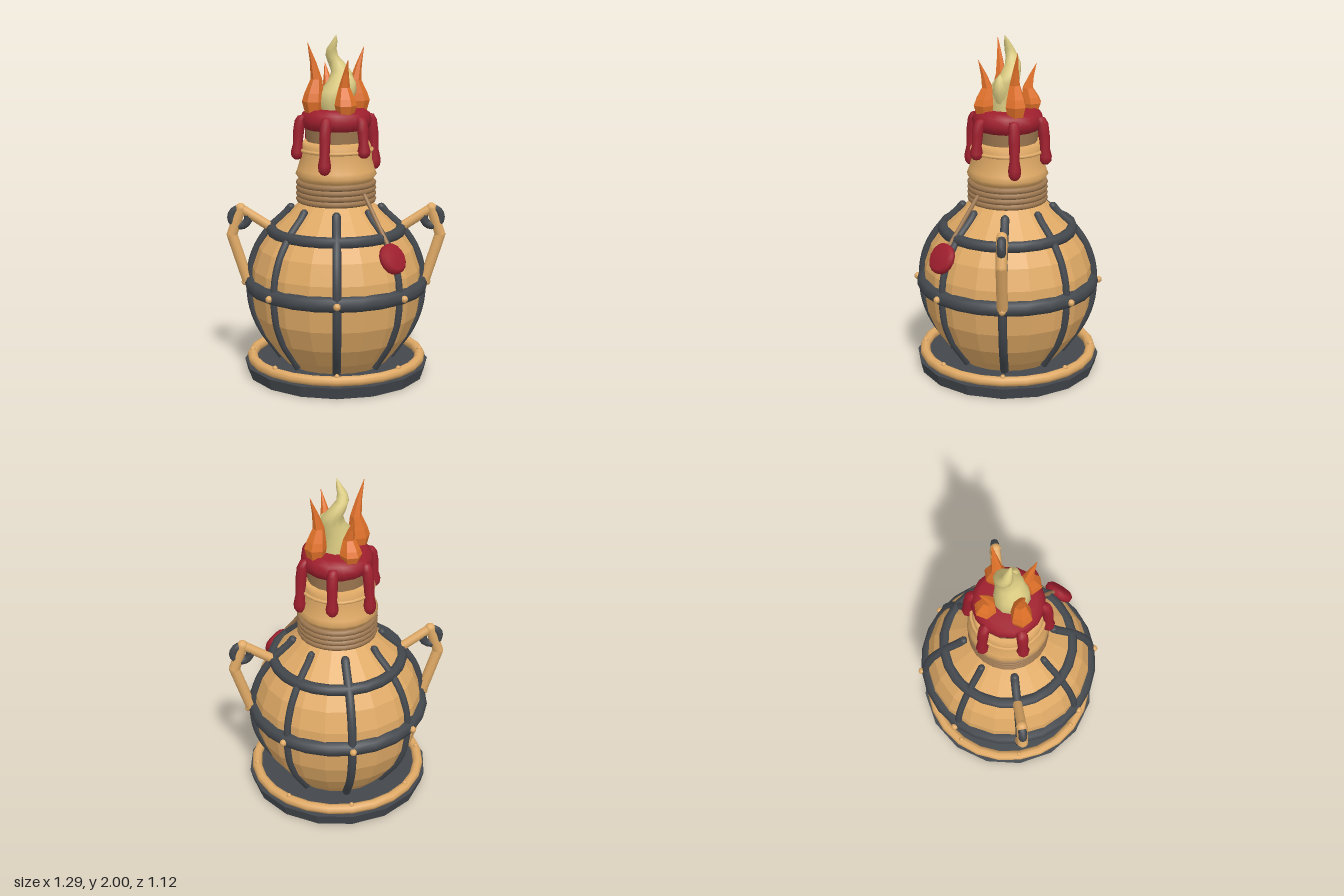
import * as THREE from 'three';

const mat = (name, color, flatShading = false) => {
  const m = new THREE.MeshStandardMaterial({ color });
  m.name = name;
  m.flatShading = flatShading;
  return m;
};
const V = (x, y, z = 0) => new THREE.Vector3(x, y, z);

// Closed loft of horizontal rings from bottom to top, each given as [x, y, z, radius]
function loft(rings, sides) {
  const pos = [], index = [];
  rings.forEach(([x, y, z, r], i) => {
    for (let j = 0; j < sides; j++) {
      const a = (j / sides) * Math.PI * 2;
      pos.push(x + Math.cos(a) * r, y, z + Math.sin(a) * r);
      if (i === rings.length - 1) continue;
      const p = i * sides + j, q = i * sides + ((j + 1) % sides);
      index.push(p, p + sides, q, q, p + sides, q + sides);
    }
  });
  const g = new THREE.BufferGeometry();
  g.setAttribute('position', new THREE.Float32BufferAttribute(pos, 3));
  g.setIndex(index);
  g.computeVertexNormals();
  return g;
}

export function createModel() {
  const group = new THREE.Group();
  const clay = mat('tan clay', 0xe0aa66, true);
  const brass = mat('tan trim', 0xe0aa66);
  const iron = mat('dark iron', 0x43484d);
  const ironFlat = mat('dark iron base', 0x43484d, true);
  const red = mat('red wax', 0xa01f2e);
  const orange = mat('orange flame', 0xe2722a, true);
  const yellow = mat('pale flame', 0xdccc82);
  const rope = mat('brown cord', 0x9e7850);

  const add = (name, geo, material, x = 0, y = 0, z = 0, parent = group) => {
    const m = new THREE.Mesh(geo, material);
    m.name = name;
    m.position.set(x, y, z);
    parent.add(m);
    return m;
  };
  const ring = (name, R, r, y, material) =>
    add(name, new THREE.TorusGeometry(R, r, 8, 24).rotateX(Math.PI / 2), material, 0, y, 0);
  const rod = (name, a, b, r, material, parent = group) => {
    const d = b.clone().sub(a);
    const m = add(name, new THREE.CylinderGeometry(r, r, d.length(), 10), material, 0, 0, 0, parent);
    m.position.copy(a).addScaledVector(d, 0.5);
    m.quaternion.setFromUnitVectors(V(0, 1, 0), d.normalize());
  };
  const lathe = (name, pts, segs, material) =>
    add(name, new THREE.LatheGeometry(pts.map(p => new THREE.Vector2(...p)), segs), material);

  // Base plate and its rim
  add('basePlate', new THREE.CylinderGeometry(0.547, 0.53, 0.067, 16), ironFlat, 0, 0.0335, 0);
  ring('baseRim', 0.502, 0.03, 0.095, brass);

  // Round body
  const profile = [[0.355, 0.13], [0.433, 0.24], [0.487, 0.37], [0.505, 0.5], [0.496, 0.64],
    [0.455, 0.76], [0.38, 0.87], [0.28, 0.965]];
  lathe('body', [[0, 0.066], [0.3, 0.066], ...profile, [0.215, 1.03], [0.21, 1.17]], 20, clay);

  // Hoops
  ring('middleHoop', 0.497, 0.046, 0.54, iron);
  ring('upperHoop', 0.38, 0.034, 0.865, iron);

  // Eight ribs with studs on hoop and rim; the diagonal ribs are slimmer
  const ribPath = new THREE.CatmullRomCurve3(
    [[0.32, 0.08], ...profile, [0.262, 0.99]].map(([r, y]) => V(r + 0.004, y + 0.004)));
  const ribGeo = new THREE.TubeGeometry(ribPath, 24, 0.025, 8);
  for (let i = 0; i < 8; i++) {
    const spoke = new THREE.Group();
    spoke.name = 'ribSet';
    spoke.rotation.y = (i * Math.PI) / 4;
    group.add(spoke);
    const rib = new THREE.Group();
    rib.name = 'ribBar';
    if (i % 2) rib.scale.set(0.98, 1, 0.85);
    spoke.add(rib);
    add('rib', ribGeo, iron, 0, 0, 0, rib);
    add('ribEnd', new THREE.SphereGeometry(0.025, 8, 6), iron, 0.266, 0.994, 0, rib);
    add('hoopStud', new THREE.SphereGeometry(0.021, 8, 6), brass, 0.541, 0.54, 0, spoke);
    add('rimStud', new THREE.SphereGeometry(0.015, 8, 6), brass, 0.5, 0.123, 0, spoke);
  }

  // Side handles with iron rings
  for (const s of [1, -1]) {
    const handle = new THREE.Group();
    handle.name = s > 0 ? 'leftHandle' : 'rightHandle';
    group.add(handle);
    const pts = [V(0.37, 0.865), V(0.56, 0.987), V(0.614, 0.83), V(0.525, 0.55)];
    pts.forEach(p => { p.x *= s; });
    for (let i = 0; i < 3; i++) rod('handleBar', pts[i], pts[i + 1], i ? 0.032 : 0.028, brass, handle);
    for (const p of pts.slice(1, 3))
      add('handleJoint', new THREE.SphereGeometry(0.032, 10, 8), brass, p.x, p.y, 0, handle);
    add('handleRing', new THREE.TorusGeometry(0.05, 0.025, 8, 16), iron, s * 0.566, 0.933, 0, handle);
  }

  // Neck with cord wrapping, collar and cork
  for (let i = 0; i < 4; i++) ring('neckCord', 0.218, 0.018, 1.048 + i * 0.032, rope);
  lathe('neck', [[0.205, 1.15], [0.22, 1.17], [0.238, 1.195], [0.226, 1.225], [0.21, 1.28], [0.207, 1.33],
    [0.203, 1.365], [0.19, 1.39], [0, 1.39]], 20, brass);
  ring('neckRing', 0.21, 0.01, 1.34, brass);
  add('cork', new THREE.CylinderGeometry(0.18, 0.172, 0.1, 16), rope, 0, 1.43, 0);

  // Wax cap
  lathe('waxCap', [[0, 1.455], [0.17, 1.455], [0.198, 1.475], [0.207, 1.515], [0.195, 1.555],
    [0.16, 1.578], [0, 1.578]], 16, red);

  // Wax drips, one length per drip; rings are [distance out, height fraction, radius]
  const drip = [[0.23, 0, 0.001], [0.231, 0.02, 0.02], [0.231, 0.08, 0.034], [0.231, 0.18, 0.037],
    [0.228, 0.35, 0.028], [0.222, 0.65, 0.032], [0.212, 0.88, 0.032], [0.2, 0.98, 0.026], [0.197, 1, 0.001]];
  [1.31, 1.22, 1.285, 1.23, 1.265, 1.21].forEach((end, i) => {
    const a = THREE.MathUtils.degToRad(47 + i * 60);
    add('waxDrip', loft(drip.map(([d, t, r]) =>
      [Math.cos(a) * d, end + t * (1.545 - end), Math.sin(a) * d, r]), 8), red);
  });

  // Outer flames: direction in degrees and tip height
  const tongue = [[0.14, 0, 0.05], [0.143, 0.16, 0.064], [0.137, 0.28, 0.055], [0.122, 0.48, 0.033],
    [0.142, 0.72, 0.018], [0.175, 1, 0.001]];
  for (const [deg, top] of [[68, 1.87], [158, 1.96], [248, 1.83], [338, 1.93]]) {
    const a = THREE.MathUtils.degToRad(deg);
    add('outerFlame', loft(tongue.map(([d, t, r]) =>
      [Math.cos(a) * d, 1.56 + t * (top - 1.56), Math.sin(a) * d, r]), 6), orange);
  }

  // Twisting inner flame with a small side lick
  add('innerFlame', loft([[0, 1.56, 0.01, 0.095], [-0.008, 1.62, 0.02, 0.103], [0, 1.68, 0.02, 0.095],
    [0.03, 1.74, 0.005, 0.076], [0.03, 1.79, -0.02, 0.058], [0, 1.84, -0.03, 0.047],
    [-0.025, 1.88, -0.022, 0.036], [-0.026, 1.92, -0.008, 0.029], [-0.008, 1.965, 0.005, 0.016],
    [0, 2, 0.015, 0.001]], 10), yellow);
  add('flameLick', loft([[0.06, 1.62, 0.035, 0.03], [0.075, 1.68, 0.04, 0.042], [0.08, 1.73, 0.04, 0.034],
    [0.072, 1.765, 0.04, 0.022], [0.068, 1.785, 0.04, 0.001]], 8), yellow);

  // Hanging wax seal on a cord
  rod('sealCord', V(0.16, 1.1, 0.16), V(0.31, 0.8, 0.34), 0.012, rope);
  const seal = add('seal', new THREE.LatheGeometry([[0, -0.03], [0.07, -0.03], [0.09, -0.012], [0.09, 0.012],
    [0.07, 0.03], [0, 0.03]].map(p => new THREE.Vector2(...p)), 16), red, 0.315, 0.768, 0.357);
  seal.quaternion.setFromUnitVectors(V(0, 1, 0), V(0.62, 0.48, 0.62).normalize());

  return group;
}
